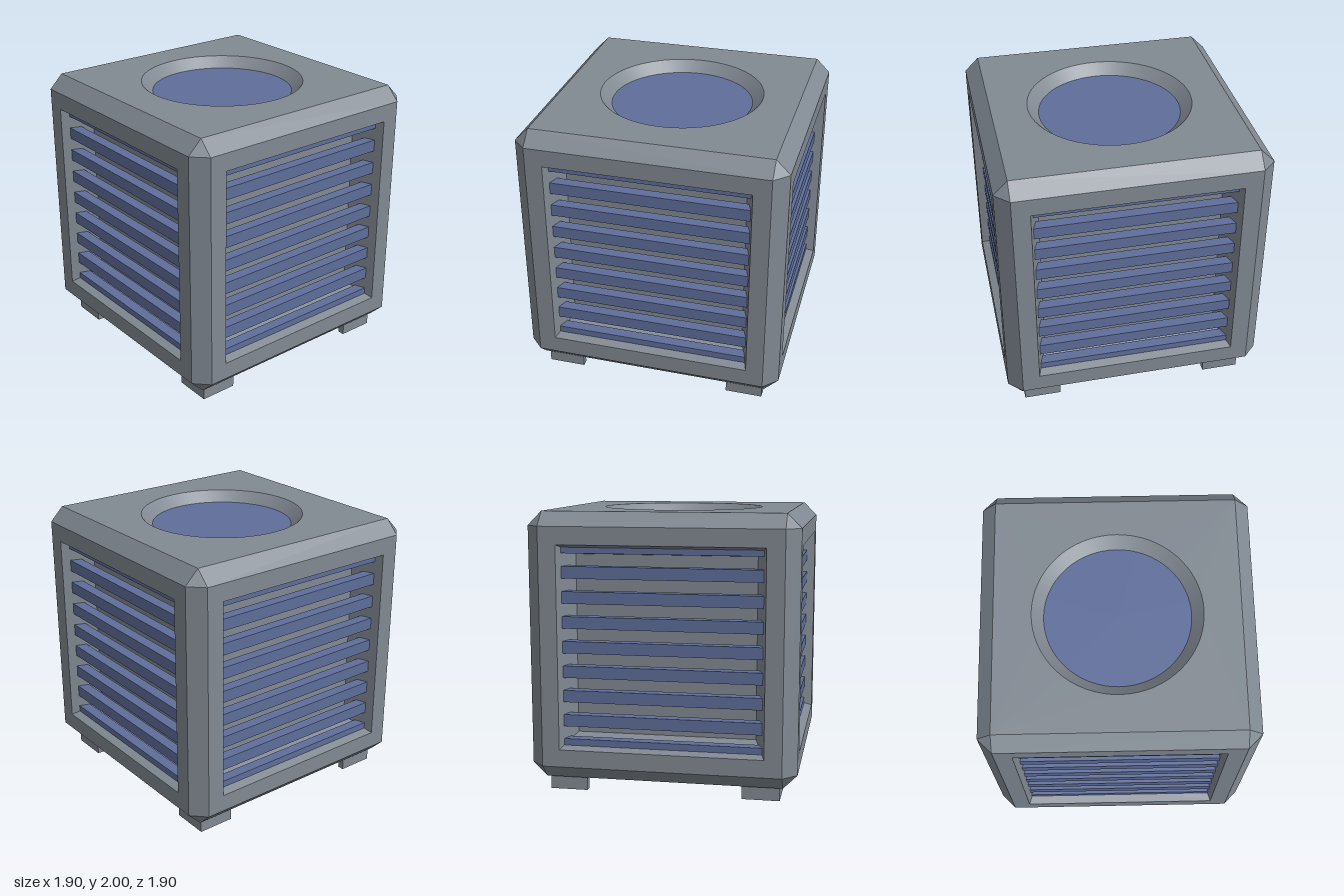
import * as THREE from 'three';

const HALF = 0.95, FLAT = 0.85, MID = 1.05; // body half size, flat face half size, centre height
const GREY = 0x818992, BLUE = 0x5f6e9b;
const grey = new THREE.MeshStandardMaterial({ color: GREY, flatShading: true });
const greyOpen = new THREE.MeshStandardMaterial({ color: GREY, flatShading: true, side: THREE.DoubleSide });
const greyRound = new THREE.MeshStandardMaterial({ color: GREY, side: THREE.DoubleSide });
const blue = new THREE.MeshStandardMaterial({ color: BLUE });

function add(parent, name, geometry, material, x = 0, y = 0, z = 0) {
  const mesh = new THREE.Mesh(geometry, material);
  mesh.name = name;
  mesh.position.set(x, y, z);
  parent.add(mesh);
  return mesh;
}

function squareShape(h) {
  return new THREE.Shape([[-h, -h], [h, -h], [h, h], [-h, h]].map(p => new THREE.Vector2(...p)));
}

// Chamfer strips on the 12 edges and triangles on the 8 corners, all facing outward
function chamferGeometry() {
  const positions = [];
  const triangle = (a, b, c) => {
    const normal = b.clone().sub(a).cross(c.clone().sub(a));
    const order = normal.dot(a) > 0 ? [a, b, c] : [a, c, b];
    order.forEach(v => positions.push(v.x, v.y, v.z));
  };
  const point = (axis, main, second, third) => {
    const v = new THREE.Vector3();
    v.setComponent(axis, main);
    v.setComponent((axis + 1) % 3, second);
    v.setComponent((axis + 2) % 3, third);
    return v;
  };
  for (const s of [-1, 1]) for (const t of [-1, 1]) {
    for (let axis = 0; axis < 3; axis++) {
      const [a, b, c, d] = [
        point(axis, -FLAT, s * HALF, t * FLAT), point(axis, FLAT, s * HALF, t * FLAT),
        point(axis, FLAT, s * FLAT, t * HALF), point(axis, -FLAT, s * FLAT, t * HALF)];
      triangle(a, b, c);
      triangle(a, c, d);
    }
    for (const u of [-1, 1]) {
      triangle(point(0, s * HALF, t * FLAT, u * FLAT), point(0, s * FLAT, t * HALF, u * FLAT),
        point(0, s * FLAT, t * FLAT, u * HALF));
    }
  }
  const geometry = new THREE.BufferGeometry();
  geometry.setAttribute('position', new THREE.Float32BufferAttribute(positions, 3));
  geometry.computeVertexNormals();
  return geometry;
}

// One side: framed opening, tapered recess, back wall and louvre slats, facing +z
function createSide() {
  const side = new THREE.Group();
  side.name = 'ventSide';
  const outer = 0.725, inner = 0.645, depth = 0.23;
  const frame = squareShape(FLAT);
  frame.holes.push(squareShape(outer));
  add(side, 'ventFrame', new THREE.ShapeGeometry(frame), grey, 0, 0, HALF);

  const taper = new THREE.CylinderGeometry(outer * Math.SQRT2, inner * Math.SQRT2, depth, 4, 1, true, Math.PI / 4);
  add(side, 'ventRecess', taper.rotateX(Math.PI / 2), greyOpen, 0, 0, HALF - depth / 2);
  add(side, 'ventBack', new THREE.PlaneGeometry(inner * 2, inner * 2), grey, 0, 0, HALF - depth);

  for (let i = -4; i <= 4; i++) {
    add(side, 'slat', new THREE.BoxGeometry(1.41, 0.085, 0.08), blue, 0, 0.003 + i * 0.1755, 0.85);
  }
  return side;
}

export function createModel() {
  const model = new THREE.Group();
  model.name = 'ventedCube';
  const body = new THREE.Group();
  body.name = 'body';
  body.position.y = MID;
  model.add(body);

  add(body, 'chamferedEdges', chamferGeometry(), grey);
  for (let i = 0; i < 4; i++) {
    const side = createSide();
    side.rotation.y = i * Math.PI / 2;
    body.add(side);
  }

  // Top face with a round tapered well
  const top = squareShape(FLAT);
  top.holes.push(new THREE.Path().absarc(0, 0, 0.59, 0, Math.PI * 2, true));
  add(body, 'topFace', new THREE.ShapeGeometry(top, 32).rotateX(-Math.PI / 2), grey, 0, HALF, 0);
  add(body, 'topWell', new THREE.CylinderGeometry(0.59, 0.51, 0.075, 64, 1, true), greyRound, 0, HALF - 0.0375, 0);
  add(body, 'topDisc', new THREE.CircleGeometry(0.51, 64).rotateX(-Math.PI / 2), blue, 0, HALF - 0.075, 0);
  add(body, 'bottomFace', new THREE.PlaneGeometry(FLAT * 2, FLAT * 2).rotateX(Math.PI / 2), grey, 0, -HALF, 0);

  // L-shaped feet with the corner pointing outward
  const [o, n, t] = [0.827, 0.558, 0.05];
  const footShape = new THREE.Shape([[o, o], [n, o], [n, o - t], [o - t, o - t], [o - t, n], [o, n]]
    .map(p => new THREE.Vector2(...p)));
  const footGeometry = new THREE.ExtrudeGeometry(footShape, { depth: 0.1, bevelEnabled: false }).rotateX(-Math.PI / 2);
  for (let i = 0; i < 4; i++) {
    add(model, 'foot', footGeometry, grey).rotation.y = i * Math.PI / 2;
  }
  return model;
}
